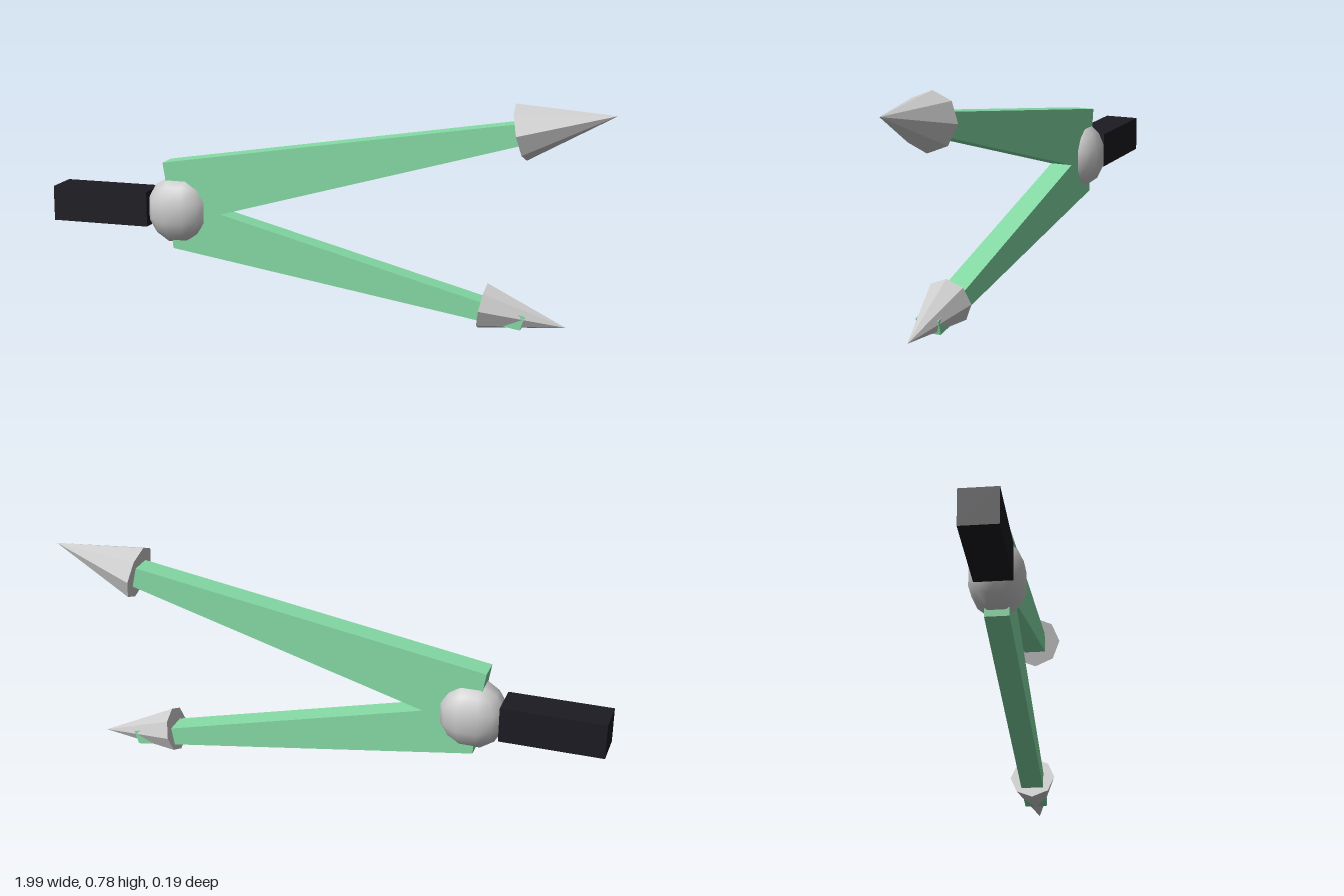
import * as THREE from 'three';

const mat = (color, flatShading = true) =>
  new THREE.MeshStandardMaterial({ color, flatShading });

function add(group, name, geometry, material) {
  const mesh = new THREE.Mesh(geometry, material);
  mesh.name = name;
  group.add(mesh);
  return mesh;
}

// Cube grid pushed out to a smooth, low-poly ellipsoid
function roundedBall(rx, ry, rz) {
  const geo = new THREE.BoxGeometry(2, 2, 2, 3, 3, 3);
  const pos = geo.attributes.position, nor = geo.attributes.normal;
  const v = new THREE.Vector3();
  for (let i = 0; i < pos.count; i++) {
    v.fromBufferAttribute(pos, i).normalize();
    pos.setXYZ(i, v.x * rx, v.y * ry, v.z * rz);
    v.set(v.x / rx, v.y / ry, v.z / rz).normalize();
    nor.setXYZ(i, v.x, v.y, v.z);
  }
  return geo;
}

// Eight-sided point running from its base centre to its tip
function addPoint(group, name, radius, base, tip, material) {
  const a = new THREE.Vector3(...base), b = new THREE.Vector3(...tip);
  const mesh = add(group, name, new THREE.ConeGeometry(radius, a.distanceTo(b), 8), material);
  mesh.position.copy(a).lerp(b, 0.5);
  mesh.quaternion.setFromUnitVectors(new THREE.Vector3(0, 1, 0), b.sub(a).normalize());
}

export function createModel() {
  const group = new THREE.Group();
  group.name = 'drawingCompass';
  const grey = mat(0xcccccc);

  // Square grip
  add(group, 'handle', new THREE.BoxGeometry(0.36, 0.125, 0.126), mat(0x1b1b22))
    .position.set(-0.82, 0.347, 0);

  // Hinge joint
  add(group, 'hingeBall', roundedBall(0.1215, 0.127, 0.097), mat(0xcccccc, false))
    .position.set(-0.535, 0.345, 0);

  // Both tapered legs, joined in a V at the hinge
  const outline = [
    [-0.585, 0.515], [-0.56, 0.36], [-0.55, 0.208], [0.70, 0.016],
    [0.715, 0.064], [-0.37, 0.342], [0.75, 0.664], [0.74, 0.728],
  ].map(([x, y]) => new THREE.Vector2(x, y));
  const legs = new THREE.ExtrudeGeometry(new THREE.Shape(outline), { depth: 0.08, bevelEnabled: false });
  legs.translate(0, 0, -0.04);
  add(group, 'legs', legs, mat(0x85dba5));

  // Pointed ends
  addPoint(group, 'upperPoint', 0.097, [0.68, 0.685, 0], [0.994, 0.754, 0], grey);
  addPoint(group, 'lowerPoint', 0.081, [0.564, 0.081, 0], [0.848, 0.027, 0], grey);

  return group;
}
